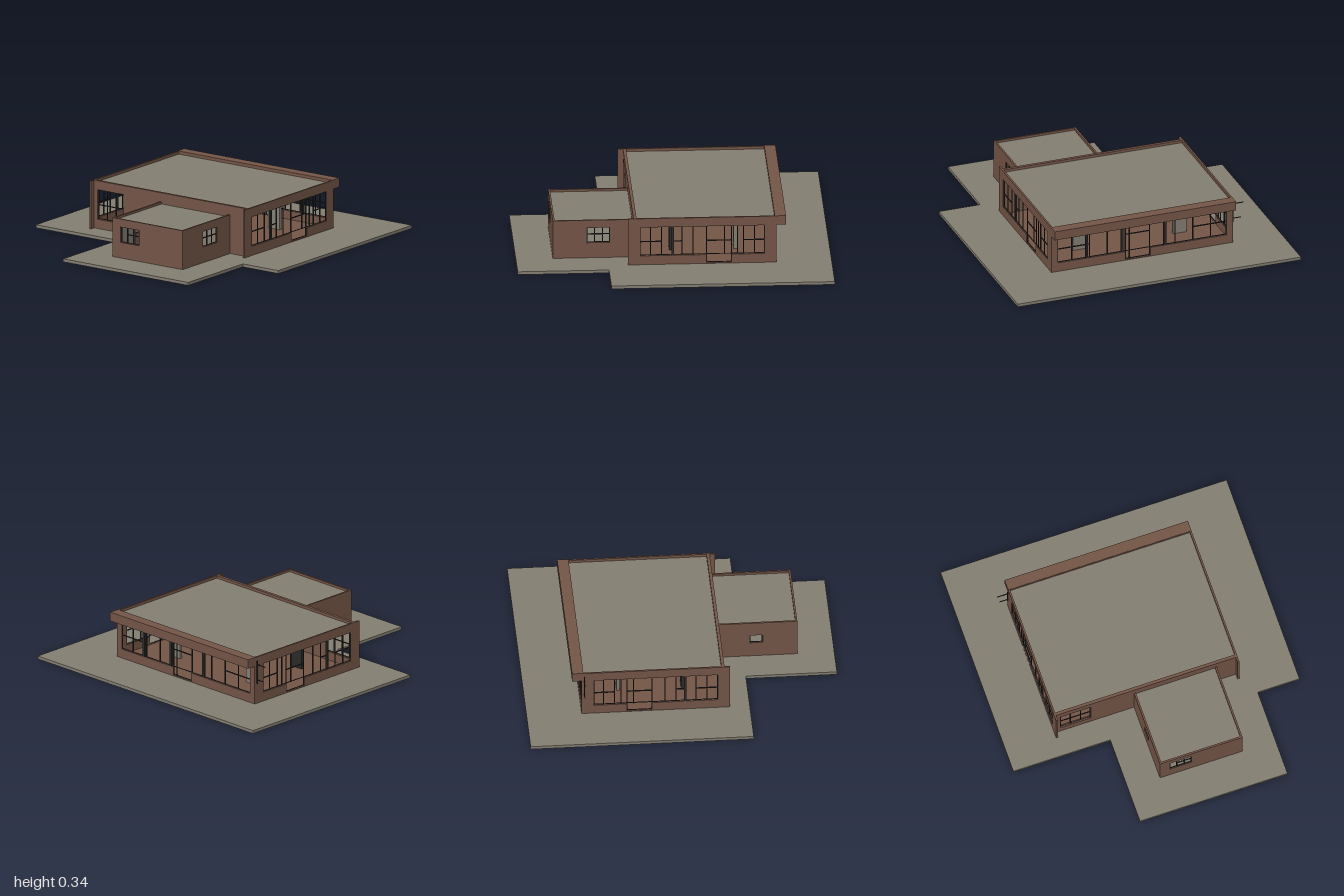
import * as THREE from 'three';

const mat = (name, color) => Object.assign(new THREE.MeshStandardMaterial({ color }), { name });

const polygon = (pts, Type = THREE.Shape) => new Type(pts.map(([u, v]) => new THREE.Vector2(u, v)));
const rect = (a, b, c, d) => [[a, c], [b, c], [b, d], [a, d]];

// window band that drops to floor level at a doorway
const band = (a, b, d0, d1) => [[a, 0.08], [d0, 0.08], [d0, 0.025], [d1, 0.025], [d1, 0.08],
  [b, 0.08], [b, 0.275], [a, 0.275]];

export function createModel() {
  const brick = mat('brown brick', 0x755647);
  const concrete = mat('grey concrete', 0x857f73);
  const metal = mat('dark metal', 0x2c2b2a);
  const model = new THREE.Group();
  model.name = 'pavilion';

  const add = (name, geometry, material, parent = model) => {
    const mesh = new THREE.Mesh(geometry, material);
    mesh.name = name;
    parent.add(mesh);
    return mesh;
  };
  const box = (name, material, x0, x1, y0, y1, z0, z1, parent) => {
    const mesh = add(name, new THREE.BoxGeometry(x1 - x0, y1 - y0, z1 - z0), material, parent);
    mesh.position.set((x0 + x1) / 2, (y0 + y1) / 2, (z0 + z1) / 2);
    return mesh;
  };
  const slab = (outline, holes, depth) => {
    const shape = polygon(outline);
    shape.holes = holes.map((h) => polygon(h, THREE.Path));
    return new THREE.ExtrudeGeometry(shape, { depth, bevelEnabled: false });
  };
  // wall across x, its back face at z
  const wallX = (name, outline, holes, z, t) => {
    add(name, slab(outline, holes, t), brick).position.z = z;
  };
  // wall along z, its +x face at x
  const wallZ = (name, outline, holes, x, t) => {
    const mesh = add(name, slab(outline, holes, t), brick);
    mesh.rotation.y = -Math.PI / 2;
    mesh.position.x = x;
  };
  // window frame with bars; along = 'x' or 'z', at = position on the other axis
  const frame = (name, along, at, u0, u1, v0, v1, uprights, rails = [], w = 0.006) => {
    const group = new THREE.Group();
    group.name = name;
    model.add(group);
    const bar = (a, b, c, d) => (along === 'x'
      ? box('frameBar', metal, a, b, c, d, at - w / 2, at + w / 2, group)
      : box('frameBar', metal, at - w / 2, at + w / 2, c, d, a, b, group));
    for (const u of [u0 + w / 2, ...uprights, u1 - w / 2]) bar(u - w / 2, u + w / 2, v0, v1);
    for (const v of [v0 + w / 2, v1 - w / 2]) bar(u0, u1, v, v + w / 2);
    for (const [a, b, v] of rails) bar(a, b, v - w / 2, v + w / 2);
  };

  // paved ground with the house floor set into it
  const house = rect(-0.62, 0.59, -0.65, 0.25);
  const paving = add('paving', slab(
    [[-0.96, 1], [-0.96, -0.42], [-0.31, -0.42], [-0.31, -1], [0.68, -1], [0.68, -0.42], [0.96, -0.42], [0.96, 1]],
    [house.map(([x, z]) => [x, -z])], 0.02), concrete);
  paving.rotation.x = -Math.PI / 2;
  box('houseFloor', brick, -0.62, 0.59, 0, 0.024, -0.65, 0.25);

  // main walls
  const doorA = -0.365, doorB = -0.2;
  for (const [name, x] of [['leftWall', 0.6], ['rightWall', -0.618]]) {
    wallZ(name, rect(-0.65, 0.295, 0.02, 0.333), [band(-0.575, 0.22, doorA, doorB)], x, 0.012);
    const at = x - 0.006;
    frame(name + 'Windows', 'z', at, -0.575, 0.22, 0.08, 0.275,
      [-0.51, -0.44, -0.4, -0.32, -0.12, -0.05, 0.01, 0.08, 0.15],
      [[-0.575, -0.44, 0.175], [doorA, doorB, 0.175], [-0.05, 0.01, 0.175], [0.08, 0.22, 0.175]]);
    frame(name + 'Door', 'z', at, doorA, doorB, 0.025, 0.275, []);
    box('windowPost', metal, at - 0.006, at + 0.006, 0.08, 0.275, 0.002, 0.018);
  }
  wallX('frontWall', rect(-0.62, 0.59, 0.02, 0.333), [rect(-0.59, -0.385, 0.08, 0.275)], 0.24, 0.02);
  frame('frontWindow', 'x', 0.25, -0.59, -0.385, 0.08, 0.275, [-0.52, -0.45], [[-0.59, -0.385, 0.175]]);
  wallX('backWall', rect(-0.62, 0.59, 0.02, 0.333), [band(-0.59, 0.56, -0.07, 0.1)], -0.65, 0.012);
  frame('backWindows', 'x', -0.644, -0.59, 0.56, 0.08, 0.275,
    [-0.48, -0.36, -0.24, 0.22, 0.34, 0.46],
    [[-0.59, -0.36, 0.175], [-0.07, 0.1, 0.2], [0.34, 0.56, 0.175]]);
  frame('backDoor', 'x', -0.644, -0.07, 0.1, 0.025, 0.275, [0.07]);
  for (const x of [-0.17, 0.12, 0.36]) box('backPost', metal, x - 0.008, x + 0.008, 0.08, 0.275, -0.652, -0.636);

  // roof and the beam overhanging the back
  box('mainRoof', concrete, -0.62, 0.59, 0.295, 0.315, -0.645, 0.245);
  box('backOverhang', brick, -0.63, 0.6, 0.275, 0.335, -0.71, -0.64);

  // interior columns
  for (const x of [-0.36, 0.32]) {
    for (const z of [-0.4, 0.01]) {
      box('column', z < -0.1 ? concrete : metal, x - 0.045, x + 0.045, 0.024, 0.295, z - 0.01, z + 0.01);
    }
  }

  // annex in front
  wallX('annexFrontWall', rect(-0.095, 0.46, 0.02, 0.275), [rect(-0.03, 0.12, 0.122, 0.225)], 0.753, 0.012);
  frame('annexFrontWindow', 'x', 0.759, -0.03, 0.12, 0.122, 0.225, [0.02, 0.07], [[0.02, 0.12, 0.18]]);
  const side = rect(0.255, 0.755, 0.02, 0.275);
  wallZ('annexLeftWall', side, [rect(0.4, 0.55, 0.122, 0.225)], 0.46, 0.012);
  frame('annexLeftWindow', 'z', 0.454, 0.4, 0.55, 0.122, 0.225, [0.45, 0.5], [[0.4, 0.55, 0.18]]);
  wallZ('annexRightWall', side, [rect(0.46, 0.545, 0.122, 0.18)], -0.083, 0.012);
  frame('annexRightWindow', 'z', -0.089, 0.46, 0.545, 0.122, 0.18, []);
  box('annexRoof', concrete, -0.09, 0.455, 0.245, 0.26, 0.255, 0.758);
  // plaster lining of the annex
  box('annexBackLining', concrete, -0.083, 0.448, 0.02, 0.245, 0.26, 0.266);
  box('annexSideLiningFront', concrete, -0.083, -0.077, 0.02, 0.245, 0.545, 0.753);
  box('annexSideLiningBack', concrete, -0.083, -0.077, 0.02, 0.245, 0.266, 0.46);
  box('annexSideLiningTop', concrete, -0.083, -0.077, 0.18, 0.245, 0.46, 0.545);

  // wall bracket on the right side
  box('bracketUpright', metal, -0.639, -0.633, 0.155, 0.31, -0.636, -0.63);
  box('bracketUpperArm', metal, -0.707, -0.63, 0.282, 0.287, -0.636, -0.631);
  box('bracketLowerArm', metal, -0.69, -0.63, 0.18, 0.184, -0.636, -0.631);

  return model;
}
